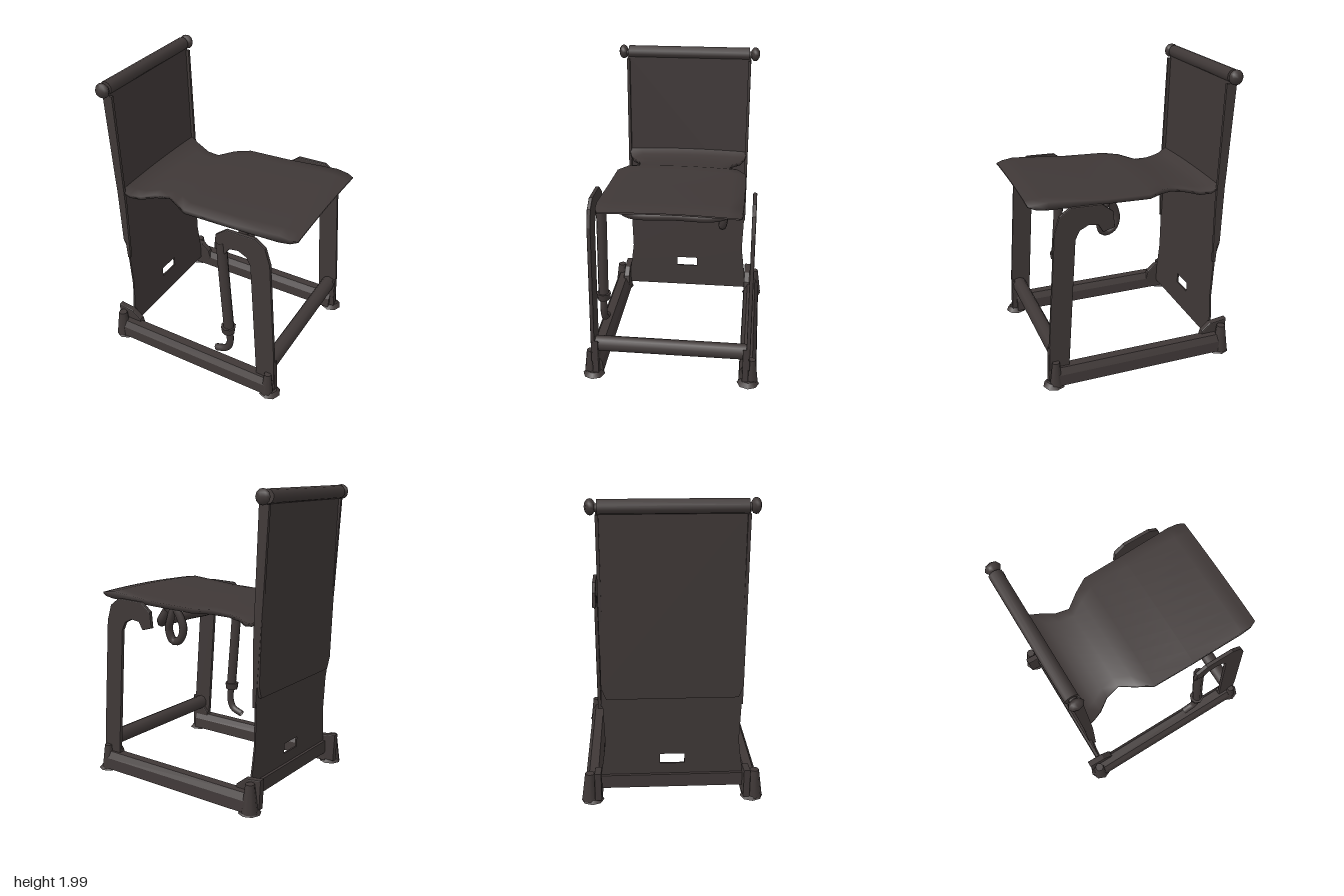
import * as THREE from 'three';

const fabric = new THREE.MeshStandardMaterial({ color: 0x3f3837, side: THREE.DoubleSide });
fabric.name = 'dark brown';

export function createModel() {
  const model = new THREE.Group();
  const add = (name, geo, x = 0, y = 0, z = 0) => {
    const mesh = new THREE.Mesh(geo, fabric);
    mesh.name = name;
    mesh.position.set(x, y, z);
    model.add(mesh);
    return mesh;
  };
  const shapeOf = pts => new THREE.Shape(pts.map(p => new THREE.Vector2(...p)));
  const plate = (pts, depth, bevel = 0) => new THREE.ExtrudeGeometry(shapeOf(pts), {
    depth, bevelEnabled: bevel > 0, bevelSize: bevel, bevelThickness: bevel, bevelSegments: 2,
  }).translate(0, 0, -depth / 2);
  const tube = (pts, r, closed = false) => new THREE.TubeGeometry(
    new THREE.CatmullRomCurve3(pts.map(p => new THREE.Vector3(...p)), closed), 28, r, 8, closed);
  const barZ = (r, length, r2 = r, sides = 10) =>
    new THREE.CylinderGeometry(r, r2, length, sides).rotateX(Math.PI / 2);

  // Back: flat outlines in z and y, leaning backwards towards the top
  const backX = y => -0.563 - 0.033 * y;
  const backSheet = (half, depth, offset, hole) => {
    const shape = shapeOf([...half, ...half.slice().reverse().map(([z, y]) => [-z, y])]);
    if (hole) shape.holes.push(new THREE.Path(hole.map(p => new THREE.Vector2(...p))));
    const geo = new THREE.ExtrudeGeometry(shape, { depth, bevelEnabled: false }).rotateY(-Math.PI / 2);
    const p = geo.attributes.position;
    for (let i = 0; i < p.count; i++) p.setX(i, p.getX(i) + backX(p.getY(i)) + offset);
    geo.computeVertexNormals();
    return geo;
  };
  add('backSheet', backSheet(
    [[0.48, 0.07], [0.45, 0.28], [0.435, 0.4], [0.45, 0.85], [0.45, 1.93]], 0.012, 0,
    [[-0.08, 0.24], [0.08, 0.24], [0.08, 0.31], [-0.08, 0.31]]));
  add('backSleeve', backSheet([[0.42, 0.72], [0.45, 0.8], [0.45, 1.92]], 0.02, -0.012));

  // Top bar with end knobs
  add('topBar', barZ(0.045, 0.88), -0.655, 1.945, 0);
  for (const s of [1, -1]) {
    add('topBarPin', barZ(0.025, 0.06), -0.65, 1.94, s * 0.45);
    const knob = add('topBarKnob', new THREE.SphereGeometry(0.045, 8, 6), -0.65, 1.945, s * 0.48);
    knob.scale.set(1.15, 1.1, 0.75);
    // Side poles of the back
    add('backPole', plate([[-0.595, 0.66], [-0.575, 0.66], [-0.575, 1.1], [-0.605, 1.9],
      [-0.675, 1.9], [-0.64, 1.3]], 0.02), 0, 0, s * 0.442);
  }

  // Seat: cross-sections [x, middle height, half width, thickness]
  const sections = [[-0.6, 1.215, 0.45, 0.012], [-0.55, 1.18, 0.43, 0.02], [-0.48, 1.17, 0.4, 0.025],
    [-0.4, 1.18, 0.345, 0.025], [-0.3, 1.19, 0.32, 0.025], [-0.2, 1.213, 0.39, 0.03],
    [-0.1, 1.217, 0.45, 0.03], [0.2, 1.227, 0.455, 0.03], [0.58, 1.25, 0.455, 0.05],
    [0.66, 1.25, 0.45, 0.03], [0.705, 1.253, 0.43, 0.008]];
  const across = 10, ring = 2 * (across + 1), verts = [], faces = [];
  sections.forEach(([x, y, w, t], i) => {
    for (let k = 0; k < ring; k++) {
      const top = k <= across;
      const u = 1 - 2 * (top ? k : ring - 1 - k) / across;
      verts.push(x, y + 0.012 * (0.5 - u * u) + (top ? t : -t) / 2, u * w);
      const a = i * ring + k, b = i * ring + (k + 1) % ring;
      if (i < sections.length - 1) faces.push(a, a + ring, b, b, a + ring, b + ring);
    }
  });
  const seat = new THREE.BufferGeometry();
  seat.setAttribute('position', new THREE.Float32BufferAttribute(verts, 3));
  seat.setIndex(faces);
  seat.computeVertexNormals();
  add('seat', seat);

  // Base rails, front legs, brackets and feet on both sides
  const leg = [[0.5, 0.12], [0.625, 0.12], [0.62, 0.3], [0.565, 1.08], [0.53, 1.19], [0.46, 1.24],
    [0.26, 1.235], [0.19, 1.18], [0.18, 1.08], [0.25, 1.06], [0.28, 1.11], [0.35, 1.12],
    [0.41, 1.09], [0.44, 1.03]];
  const rail = [[-0.06, 0.015], [0.06, 0.015], [0.055, 0.09], [0.03, 0.135], [-0.03, 0.135], [-0.055, 0.09]];
  for (const s of [1, -1]) {
    add('baseRail', plate(rail, 1.2).rotateY(Math.PI / 2), 0, 0, s * 0.52);
    add('frontLeg', plate(leg, 0.014, 0.006), 0, 0, s * 0.52);
    add('backBracket', plate([[-0.66, 0.03], [-0.52, 0.03], [-0.485, 0.09], [-0.5, 0.15],
      [-0.56, 0.2], [-0.67, 0.215]], 0.03, 0.008), 0, 0, s * 0.485);
    add('backPost', new THREE.CylinderGeometry(0.03, 0.055, 0.19, 8), -0.62, 0.105, s * 0.54);
    add('frontBracket', plate([[0.49, 0.03], [0.63, 0.03], [0.625, 0.27], [0.58, 0.23], [0.5, 0.15]],
      0.03, 0.006), 0, 0, s * 0.505);
    add('frontPost', new THREE.CylinderGeometry(0.025, 0.045, 0.17, 8), 0.59, 0.095, s * 0.545);
    for (const x of [-0.61, 0.6])
      add('foot', new THREE.CylinderGeometry(0.05, 0.075, 0.03, 8), x, 0.015, s * 0.525);
  }

  // Cross bars between the sides
  add('frontCrossBar', barZ(0.052, 1.04), 0.57, 0.225, 0);
  add('backCrossBar', new THREE.BoxGeometry(0.03, 0.09, 0.96), -0.585, 0.12, 0);

  // Bar under the seat and the loop at its end
  add('underSeatBar', tube([[0.29, 1.2, 0.36], [0.29, 1.1, 0.355], [0.29, 1.065, 0.3], [0.29, 1.065, 0],
    [0.29, 1.065, -0.25], [0.26, 1.08, -0.33], [0.2, 1.17, -0.33]], 0.033));
  add('loop', tube([[0.15, 1.18, -0.32], [0.085, 1.06, -0.31], [0.11, 0.97, -0.31],
    [0.17, 0.95, -0.31], [0.2, 1.02, -0.32], [0.18, 1.1, -0.33]], 0.028, true));

  // Hanging strut with collar and hook on one side
  add('strut', tube([[0.215, 1.13, 0.51], [0.235, 0.85, 0.51], [0.27, 0.42, 0.51]], 0.036));
  add('strutCollar', new THREE.CylinderGeometry(0.052, 0.045, 0.05, 8), 0.265, 0.415, 0.51);
  add('strutHook', tube([[0.27, 0.42, 0.51], [0.278, 0.3, 0.51], [0.25, 0.235, 0.51], [0.17, 0.2, 0.51]], 0.025));
  return model;
}
